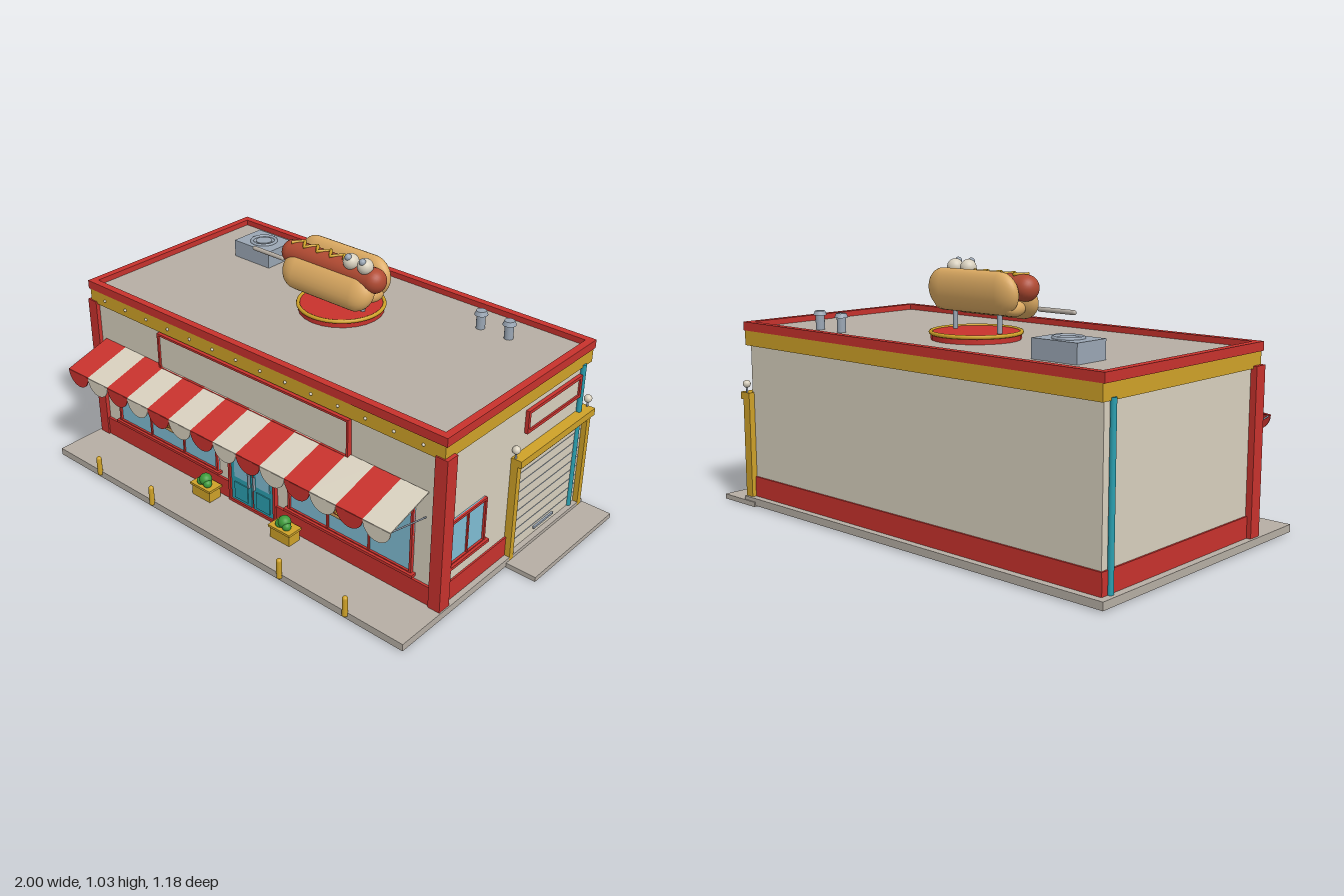
import * as THREE from 'three';

const mat = (name, color) => {
  const m = new THREE.MeshStandardMaterial({ color });
  m.name = name;
  return m;
};

export function createModel() {
  const red = mat('red paint', 0xc8322d), gold = mat('gold paint', 0xcfa228);
  const cream = mat('cream', 0xd8d0be), stone = mat('concrete', 0xb6aea4);
  const glass = mat('glass', 0x7fbdd4), teal = mat('teal paint', 0x2a9fb0);
  const steel = mat('steel', 0x9aa6b4), bunMat = mat('bun', 0xdcaa62);
  const meat = mat('sausage', 0xb04a32), green = mat('leaves', 0x3d9a3a);

  const root = new THREE.Group();
  root.name = 'hotDogDiner';
  const group = (name, parent = root) => {
    const g = new THREE.Group();
    g.name = name;
    parent.add(g);
    return g;
  };
  const add = (name, geo, m, x, y, z, parent = root) => {
    const mesh = new THREE.Mesh(geo, m);
    mesh.name = name;
    mesh.position.set(x, y, z);
    parent.add(mesh);
    return mesh;
  };
  // box given by its limits on each axis
  const box = (name, m, x0, x1, y0, y1, z0, z1, parent = root) =>
    add(name, new THREE.BoxGeometry(x1 - x0, y1 - y0, z1 - z0), m, (x0 + x1) / 2, (y0 + y1) / 2, (z0 + z1) / 2, parent);
  const cyl = (name, m, r, y0, y1, x, z, parent = root, rb = r) =>
    add(name, new THREE.CylinderGeometry(r, rb, y1 - y0, 24), m, x, (y0 + y1) / 2, z, parent);
  const ball = (name, m, r, x, y, z, parent = root) =>
    add(name, new THREE.SphereGeometry(r, 24, 16), m, x, y, z, parent);
  const rod = (name, m, pts, r, parent = root) => {
    const path = new THREE.CurvePath();
    const v = pts.map(p => new THREE.Vector3(...p));
    for (let i = 1; i < v.length; i++) path.add(new THREE.LineCurve3(v[i - 1], v[i]));
    return add(name, new THREE.TubeGeometry(path, (v.length - 1) * 4, r, 8), m, 0, 0, 0, parent);
  };
  // capsule along x with an oval section turned about x
  const sausage = (name, m, len, ry, rz, tilt, x, y, z, parent) => {
    const geo = new THREE.CapsuleGeometry(1, len / ry - 2, 10, 24).rotateZ(Math.PI / 2);
    geo.scale(ry, ry, rz).rotateX(tilt);
    return add(name, geo, m, x, y, z, parent);
  };
  // rectangular frame facing +z, centred on the origin
  const frame = (name, m, w, h, t, z0, z1, parent) => {
    const s = new THREE.Shape([[-w, -h], [w, -h], [w, h], [-w, h]].map(p => new THREE.Vector2(p[0] / 2, p[1] / 2)));
    const a = w / 2 - t, b = h / 2 - t;
    s.holes.push(new THREE.Path([[-a, -b], [-a, b], [a, b], [a, -b]].map(p => new THREE.Vector2(...p))));
    return add(name, new THREE.ExtrudeGeometry(s, { depth: z1 - z0, bevelEnabled: false }), m, 0, 0, z0, parent);
  };

  // ground slabs
  box('pavement', stone, -1, 0.87, 0.005, 0.035, -0.585, 0.575);
  box('driveway', stone, 0.8, 1, 0, 0.02, -0.59, -0.05);

  // walls, plinth, corner pillars
  box('walls', cream, -0.965, 0.84, 0.035, 0.7, -0.55, 0.345);
  box('backPlinth', red, -0.971, 0.845, 0.035, 0.118, -0.557, -0.5);
  box('leftPlinth', red, -0.972, -0.9, 0.035, 0.118, -0.556, 0.33);
  box('rightPlinth', red, 0.8, 0.847, 0.035, 0.118, -0.075, 0.33);
  box('frontPlinthRight', red, -0.95, -0.19, 0.035, 0.115, 0.3, 0.355);
  box('frontPlinthLeft', red, 0.065, 0.82, 0.035, 0.115, 0.3, 0.355);
  box('rightPillar', red, -0.99, -0.94, 0.035, 0.675, 0.305, 0.362);
  box('leftPillar', red, 0.813, 0.865, 0.035, 0.675, 0.305, 0.362);

  // roof, gold band and parapet
  box('goldBand', gold, -0.975, 0.85, 0.665, 0.727, -0.57, 0.356);
  box('roof', stone, -0.96, 0.835, 0.72, 0.737, -0.55, 0.34);
  const parapet = group('parapet');
  parapet.rotation.x = -Math.PI / 2;
  parapet.position.set(-0.0625, 0, -0.106);
  frame('parapetRim', red, 1.84, 0.93, 0.03, 0.725, 0.76, parapet);
  for (let i = 0; i < 14; i++) ball('bandBulb', cream, 0.006, -0.885 + i * 0.1265, 0.695, 0.358);

  // windows: glass, frame, mullions and sill
  const makeWindow = (name, w, h, panes) => {
    const g = group(name);
    box('pane', glass, -w / 2, w / 2, -h / 2, h / 2, 0, 0.005, g);
    frame('windowFrame', red, w, h, 0.01, 0, 0.014, g);
    for (let i = 1; i < panes; i++) {
      const x = -w / 2 + w * i / panes;
      box('mullion', red, x - 0.004, x + 0.004, -h / 2, h / 2, 0, 0.011, g);
    }
    box('sill', red, -w / 2 - 0.012, w / 2 + 0.012, -h / 2 - 0.006, -h / 2 + 0.006, 0, 0.025, g);
    return g;
  };
  makeWindow('rightShopWindow', 0.6, 0.33, 3).position.set(-0.555, 0.3, 0.345);
  makeWindow('leftShopWindow', 0.6, 0.33, 3).position.set(0.43, 0.3, 0.345);
  const side = makeWindow('sideWindow', 0.215, 0.19, 2);
  side.rotation.y = Math.PI / 2;
  side.position.set(0.84, 0.29, 0.193);

  // small hot dog signs on the shop windows
  for (const x of [-0.54, 0.41]) {
    const g = group('windowHotDog');
    g.position.set(x, 0.262, 0.37);
    for (const s of [-1, 1]) sausage('smallBun', bunMat, 0.14, 0.018, 0.014, 0, 0, s * 0.016, 0, g);
    sausage('smallSausage', meat, 0.165, 0.015, 0.014, 0, 0, 0, 0.004, g);
    const pts = [];
    for (let i = 0; i <= 8; i++) pts.push([-0.056 + i * 0.014, i % 2 ? 0.007 : -0.007, 0.017]);
    rod('smallMustard', gold, pts, 0.003, g);
  }

  // double door with transom
  const door = group('entrance');
  door.position.set(-0.0625, 0, 0.345);
  box('doorBack', red, -0.128, 0.128, 0.035, 0.335, 0, 0.006, door);
  box('transom', glass, -0.12, 0.12, 0.345, 0.44, 0, 0.006, door);
  frame('transomFrame', red, 0.256, 0.12, 0.008, 0, 0.014, door).position.y = 0.395;
  frame('doorFrame', red, 0.256, 0.3, 0.012, 0, 0.018, door).position.y = 0.185;
  for (const s of [-1, 1]) {
    box('doorLeaf', teal, s * 0.06 - 0.055, s * 0.06 + 0.055, 0.04, 0.32, 0, 0.011, door);
    box('doorGlass', glass, s * 0.06 - 0.036, s * 0.06 + 0.036, 0.16, 0.285, 0.01, 0.014, door);
    box('doorPanel', teal, s * 0.06 - 0.036, s * 0.06 + 0.036, 0.06, 0.135, 0.01, 0.015, door);
    box('doorHandle', steel, s * 0.014 - 0.003, s * 0.014 + 0.003, 0.14, 0.2, 0.01, 0.022, door);
  }

  // blank sign board above the awning
  const sign = group('frontSign');
  sign.position.set(-0.065, 0.58, 0.345);
  box('signPanel', cream, -0.495, 0.495, -0.075, 0.075, 0, 0.012, sign);
  frame('signFrame', red, 1, 0.16, 0.009, 0, 0.02, sign);

  // striped awning with scalloped edge
  const awning = group('awning');
  const n = 14, sw = 1.695 / n, run = 0.205, drop = 0.06;
  const half = new THREE.Shape().absarc(0, 0, sw / 2, Math.PI, 2 * Math.PI, false);
  const scallopGeo = new THREE.ExtrudeGeometry(half, { depth: 0.004, bevelEnabled: false, curveSegments: 16 });
  const stripeGeo = new THREE.BoxGeometry(sw, 0.005, Math.hypot(run, drop)).rotateX(Math.atan2(drop, run));
  for (let i = 0; i < n; i++) {
    const x = -0.91 + (i + 0.5) * sw, m = i % 2 ? cream : red;
    add('awningStripe', stripeGeo, m, x, 0.45 + drop / 2, 0.553 - run / 2, awning);
    add('awningScallop', scallopGeo, m, x, 0.45, 0.55, awning);
  }
  for (const x of [-0.9, 0.775]) rod('awningStrut', steel, [[x, 0.445, 0.55], [x, 0.4, 0.345]], 0.003, awning);

  // roller door on the model's left side
  const garage = group('garage');
  garage.rotation.y = Math.PI / 2;
  garage.position.set(0.84, 0, -0.3225);
  box('rollerDoor', cream, -0.23, 0.23, 0.035, 0.425, 0, 0.008, garage);
  for (let i = 1; i < 10; i++) box('slatGroove', steel, -0.23, 0.23, 0.034 + i * 0.0425, 0.037 + i * 0.0425, 0, 0.0095, garage);
  for (const s of [-1, 1]) {
    box('garagePost', gold, s * 0.24 - 0.0125, s * 0.24 + 0.0125, 0.02, 0.45, -0.01, 0.03, garage);
    ball('garageLamp', cream, 0.016, s * 0.245, 0.505, 0.014, garage);
    cyl('lampStem', steel, 0.004, 0.465, 0.5, s * 0.245, 0.014, garage);
  }
  box('garageLintel', gold, -0.245, 0.245, 0.42, 0.445, -0.01, 0.03, garage);
  box('garageCap', gold, -0.253, 0.253, 0.44, 0.47, -0.01, 0.045, garage);
  box('garageHandle', steel, -0.067, 0.067, 0.058, 0.067, 0.005, 0.016, garage);

  // small board and drain pipes on the sides
  const board = group('sideSign');
  board.rotation.y = Math.PI / 2;
  board.position.set(0.84, 0.588, -0.323);
  box('boardPanel', cream, -0.175, 0.175, -0.043, 0.043, 0, 0.008, board);
  frame('boardFrame', red, 0.36, 0.095, 0.013, 0, 0.015, board);
  cyl('leftDrainPipe', teal, 0.011, 0.035, 0.675, 0.848, -0.515);
  cyl('rightDrainPipe', teal, 0.011, 0.035, 0.675, -0.975, -0.515);

  // planters and bollards
  for (const x of [-0.28, 0.155]) {
    const g = group('planter');
    g.position.set(x, 0, 0.403);
    box('planterBox', gold, -0.05, 0.05, 0.035, 0.087, -0.03, 0.03, g);
    box('planterRim', gold, -0.056, 0.056, 0.082, 0.092, -0.035, 0.035, g);
    ball('shrub', green, 0.026, 0, 0.112, 0, g);
    for (const s of [-1, 1]) ball('shrubSide', green, 0.018, s * 0.018, 0.102, 0.008, g);
  }
  for (const x of [-0.74, -0.415, 0.29, 0.61]) {
    cyl('bollard', gold, 0.011, 0.02, 0.095, x, 0.577);
    ball('bollardTop', gold, 0.011, x, 0.095, 0.577);
  }

  // rooftop cooling unit and vents
  box('coolingUnit', steel, -0.745, -0.545, 0.735, 0.81, -0.412, -0.258);
  add('fanRing', new THREE.TorusGeometry(0.052, 0.007, 8, 32).rotateX(Math.PI / 2), steel, -0.645, 0.811, -0.335);
  cyl('fanHub', steel, 0.035, 0.808, 0.814, -0.645, -0.335);
  for (const x of [0.45, 0.58]) {
    cyl('ventPipe', steel, 0.018, 0.735, 0.8, x, -0.4);
    cyl('ventCap', steel, 0.02, 0.795, 0.812, x, -0.4, root, 0.027);
  }

  // giant hot dog on its round stand
  const dog = group('giantHotDog');
  dog.position.set(-0.0625, 0, 0);
  cyl('standDisc', red, 0.172, 0.735, 0.766, 0, -0.172, dog);
  add('standRim', new THREE.TorusGeometry(0.172, 0.008, 8, 48).rotateX(Math.PI / 2), gold, 0, 0.764, -0.172, dog);
  for (const x of [-0.115, 0.115]) cyl('standPole', steel, 0.01, 0.76, 0.87, x, -0.167, dog);
  sausage('frontBun', bunMat, 0.45, 0.078, 0.05, -0.45, 0, 0.888, -0.09, dog);
  sausage('backBun', bunMat, 0.45, 0.082, 0.04, -0.1, 0, 0.918, -0.192, dog);
  sausage('bunHinge', bunMat, 0.42, 0.03, 0.05, 0, 0, 0.862, -0.155, dog);
  sausage('bigSausage', meat, 0.51, 0.05, 0.05, 0, 0, 0.938, -0.122, dog);
  const zig = [];
  for (let i = 0; i <= 8; i++) zig.push([-0.2 + i * 0.034, 0.987, i % 2 ? -0.145 : -0.1]);
  rod('mustard', gold, zig, 0.007, dog);
  for (const x of [0.108, 0.178]) {
    ball('eye', cream, 0.032, x, 0.995, -0.102, dog);
    ball('pupil', steel, 0.014, x, 1.018, -0.085, dog);
  }
  sausage('looseStick', stone, 0.175, 0.009, 0.009, 0, -0.3805, 0.87, -0.155, dog);
  return root;
}
